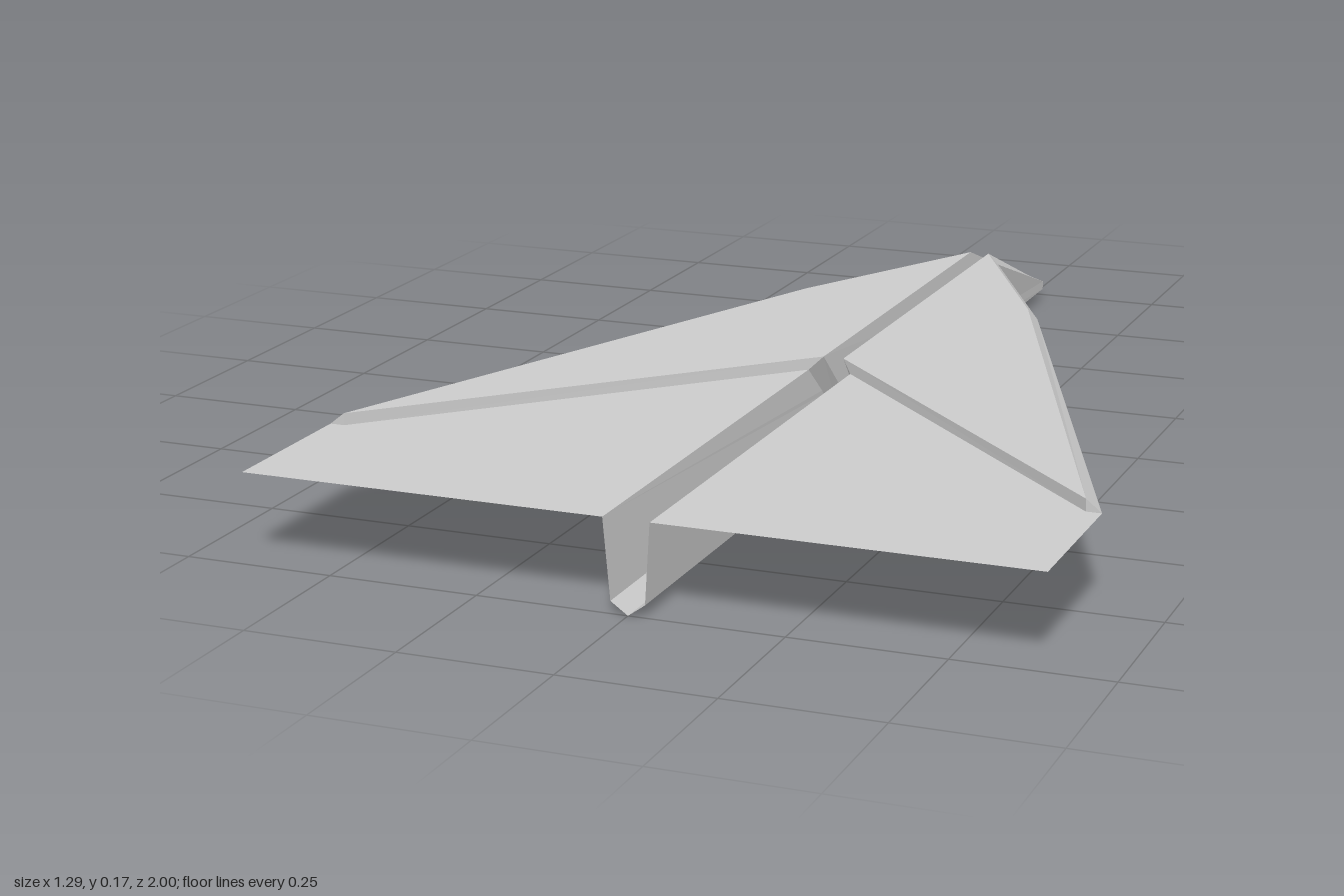
import * as THREE from 'three';

const material = new THREE.MeshStandardMaterial({ color: 0xcccccc, side: THREE.DoubleSide, flatShading: true });

// Flat convex panels, split into triangle fans; side = -1 mirrors across x = 0
function panelMesh(name, panels, side) {
  const positions = [];
  for (const panel of panels) {
    for (let i = 1; i < panel.length - 1; i++) {
      const tri = [panel[0], panel[i], panel[i + 1]];
      if (side < 0) tri.reverse();
      for (const [x, y, z] of tri) positions.push(x * side, y, z);
    }
  }
  const geometry = new THREE.BufferGeometry();
  geometry.setAttribute('position', new THREE.Float32BufferAttribute(positions, 3));
  geometry.computeVertexNormals();
  const mesh = new THREE.Mesh(geometry, material);
  mesh.name = name;
  return mesh;
}

export function createModel() {
  const model = new THREE.Group();
  model.name = 'paperPlane';

  // Outer sheet: wing outline and keel
  const wingRoot = [0.038, 0.15, -0.64];
  const wingBend = [0.23, 0.15, -0.28];
  const wingCorner = [0.645, 0.15, 0.73];
  const wingRear = [0.645, 0.15, 1];
  const rootRear = [0.038, 0.15, 1];
  const keelRear = [0.028, 0.02, 1];
  const keelFront = [0.028, 0.02, -0.97];
  const ridgeRear = [0, 0, 1];
  const ridgeFront = [0, 0, -0.97];

  // Folded upper layers
  const topRoot = [0.018, 0.17, -0.64];
  const topBend = [0.215, 0.17, -0.27];
  const topCorner = [0.62, 0.17, 0.73];
  const topRear = [0.018, 0.17, 0.15];
  const stepRoot = [0.038, 0.15, 0.17];
  const stepCorner = [0.62, 0.15, 0.73];

  // Slot between the folded layers, and the nose
  const slotRear = [0.007, 0.03, 0.02];
  const slotFront = [0.006, 0.05, -0.95];
  const floorRear = [0, 0.03, 0.02];
  const floorFront = [0, 0.03, -0.95];
  const keelStep = [0.028, 0.02, 0.04];
  const ridgeStep = [0, 0, 0.04];
  const noseSide = [0.028, 0.036, -0.97];
  const noseTip = [0, 0.024, -1];

  const parts = {
    Wing: [[wingRoot, rootRear, wingRear, wingCorner, wingBend]],
    Keel: [
      [rootRear, wingRoot, noseSide, keelFront, keelRear],
      [keelRear, keelFront, ridgeFront, ridgeRear],
    ],
    FoldedLayer: [
      [topRoot, topRear, topCorner, topBend],
      [wingRoot, topRoot, topBend, wingBend],
      [wingBend, topBend, topCorner, wingCorner],
      [topCorner, stepCorner, wingCorner],
      [topRear, stepRoot, stepCorner, topCorner],
    ],
    KeelFold: [
      [topRear, topRoot, slotFront, slotRear],
      [slotRear, slotFront, floorFront, floorRear],
      [topRear, slotRear, keelStep, stepRoot],
      [slotRear, floorRear, ridgeStep, keelStep],
    ],
    Nose: [
      [wingRoot, noseSide, slotFront, topRoot],
      [slotFront, noseSide, noseTip, floorFront],
      [noseSide, keelFront, noseTip],
      [keelFront, ridgeFront, noseTip],
    ],
  };

  for (const [label, side] of [['left', 1], ['right', -1]]) {
    const half = new THREE.Group();
    half.name = label + 'Half';
    for (const [part, panels] of Object.entries(parts)) half.add(panelMesh(label + part, panels, side));
    model.add(half);
  }
  return model;
}
